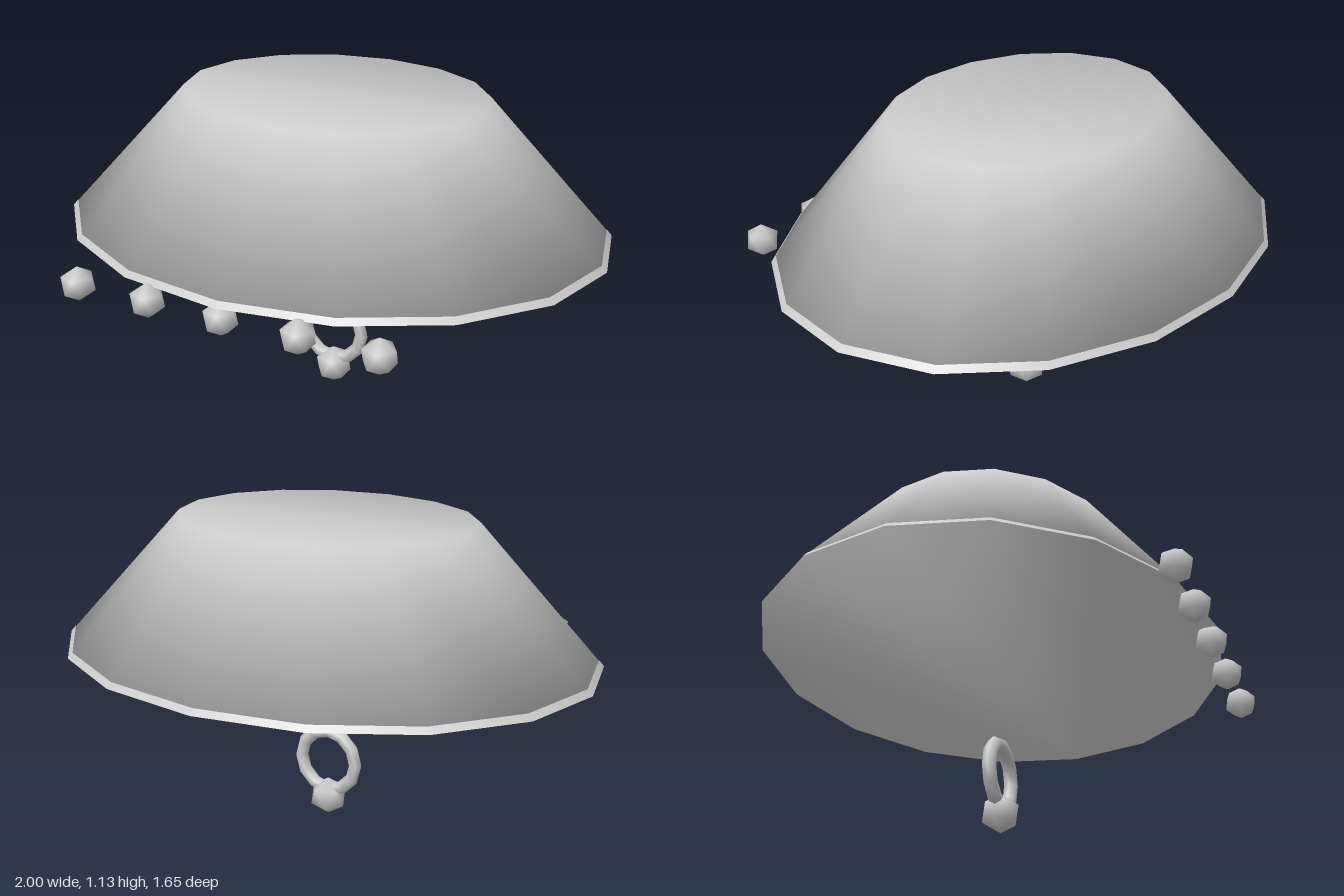
import * as THREE from 'three';

const SIDES = 16;
const DEPTH = 0.815; // shade depth relative to its width
const BOTTOM = { r: 0.998, y: 0.65 };
const TOP = { r: 0.55, y: 1.13 };

const grey = new THREE.MeshStandardMaterial({ color: 0xcccccc });
grey.name = 'pale grey';

function add(parent, name, geometry, x = 0, y = 0, z = 0) {
  const mesh = new THREE.Mesh(geometry, grey);
  mesh.name = name;
  mesh.position.set(x, y, z);
  parent.add(mesh);
}

// Closed oval frustum whose rims are smoothed between wall and caps
function shadeGeometry() {
  const positions = [], normals = [], index = [];
  const slope = (BOTTOM.r - TOP.r) / (TOP.y - BOTTOM.y);
  for (const [ring, capUp] of [[BOTTOM, -1], [TOP, 1]]) {
    for (let i = 0; i < SIDES; i++) {
      const angle = (i / SIDES) * Math.PI * 2;
      const c = Math.cos(angle), s = Math.sin(angle);
      positions.push(ring.r * c, ring.y, ring.r * s * DEPTH);
      const n = new THREE.Vector3(c, slope, s / DEPTH).normalize();
      n.y += capUp;
      normals.push(...n.normalize().toArray());
    }
  }
  for (let i = 0; i < SIDES; i++) {
    const j = (i + 1) % SIDES;
    index.push(i, SIDES + i, SIDES + j, i, SIDES + j, j);
    // Fans for the bottom and top caps
    if (i > 0 && j > 0) index.push(0, i, j, SIDES, SIDES + j, SIDES + i);
  }
  const geometry = new THREE.BufferGeometry();
  geometry.setAttribute('position', new THREE.Float32BufferAttribute(positions, 3));
  geometry.setAttribute('normal', new THREE.Float32BufferAttribute(normals, 3));
  geometry.setIndex(index);
  return geometry;
}

// Thin sloping band around the lower rim
function bandGeometry() {
  const profile = [new THREE.Vector2(1, 0.65), new THREE.Vector2(0.981, 0.671)];
  return new THREE.LatheGeometry(profile, SIDES).scale(1, 1, DEPTH);
}

// Twenty-sided bead standing on a corner, smooth shaded
function beadGeometry(radius) {
  const geometry = new THREE.IcosahedronGeometry(radius, 0);
  geometry.rotateX(-Math.atan((1 + Math.sqrt(5)) / 2)).rotateY(Math.PI / 2);
  geometry.setAttribute('normal', geometry.getAttribute('position').clone());
  geometry.normalizeNormals();
  return geometry;
}

export function createModel() {
  const model = new THREE.Group();
  model.name = 'beadedShade';

  // Oval shade
  const shade = new THREE.Group();
  shade.name = 'shade';
  shade.position.z = -0.012;
  model.add(shade);
  add(shade, 'shadeBody', shadeGeometry());
  add(shade, 'shadeRimBand', bandGeometry());

  // Row of beads along the front rim
  for (let i = -2; i <= 2; i++) {
    add(model, 'fringeBead', beadGeometry(0.062), i * 0.275, 0.605, 0.772);
  }

  // Pull ring with its bead
  const pull = new THREE.Group();
  pull.name = 'pull';
  model.add(pull);
  add(pull, 'pullRing', new THREE.TorusGeometry(0.114, 0.025, 6, 12), 0, 0.213, 0);
  add(pull, 'pullBead', beadGeometry(0.071), 0, 0.071, 0);

  return model;
}
